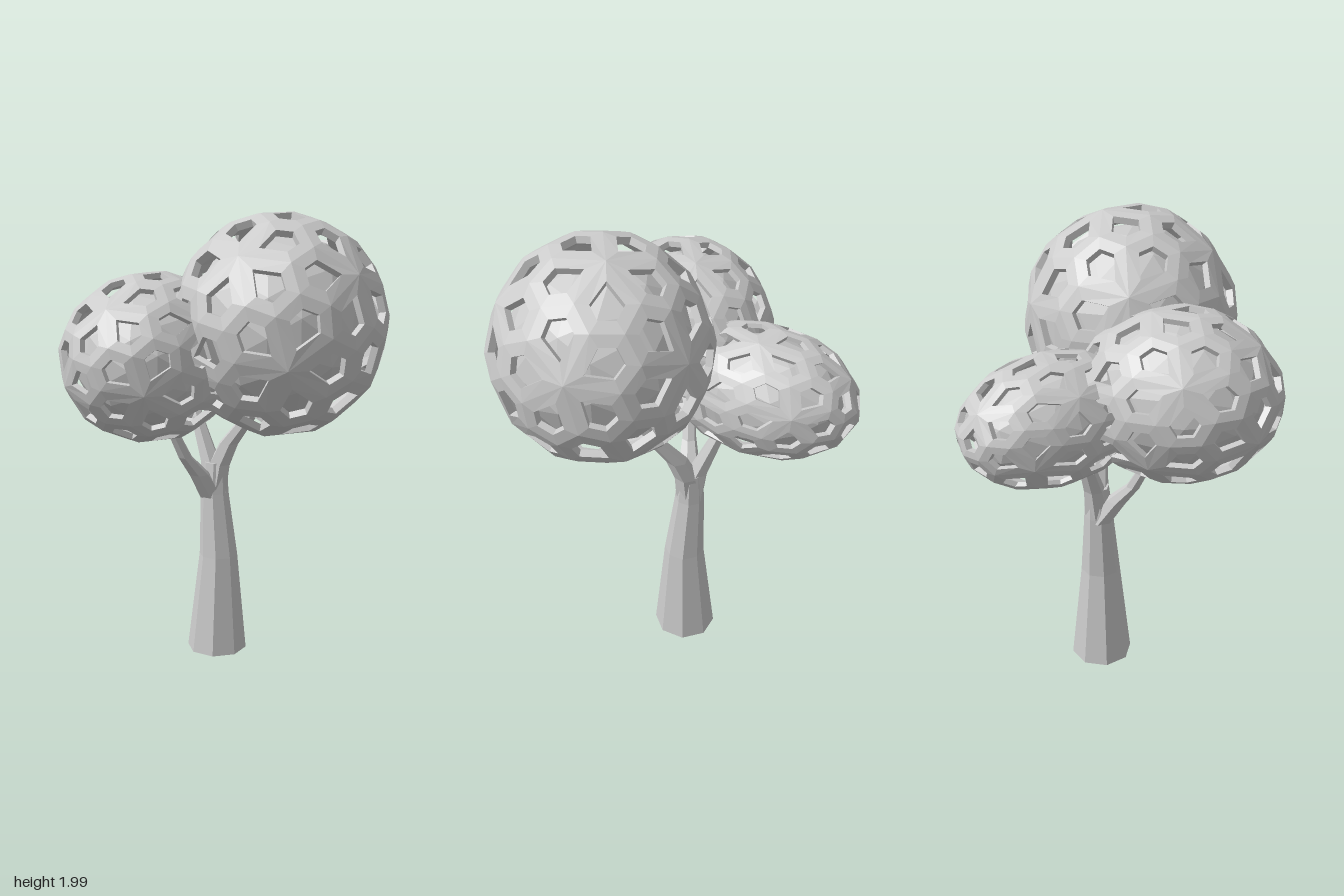
import * as THREE from 'three';

const material = new THREE.MeshStandardMaterial({ color: 0xcccccc, flatShading: true });

// Collects quads and triangles into a flat shaded geometry
function builder() {
  const data = [];
  const tri = (...pts) => pts.forEach((p) => data.push(p.x, p.y, p.z));
  return {
    tri,
    quad(a, b, c, d) { tri(a, b, c); tri(a, c, d); },
    build() {
      const g = new THREE.BufferGeometry();
      g.setAttribute('position', new THREE.Float32BufferAttribute(data, 3));
      g.computeVertexNormals();
      return g;
    },
  };
}

// Unit ball of 60 twisted pentagons, each pierced by a smaller pentagon
function piercedShell(hole = 0.53, inner = 0.935) {
  const out = builder();
  const ico = new THREE.IcosahedronGeometry(1, 0).getAttribute('position');
  const at = (i) => new THREE.Vector3().fromBufferAttribute(ico, i);
  const shrink = (p) => p.clone().multiplyScalar(inner);
  // Point beside the middle of edge a-b, on a's side, swung off the edge
  const twisted = (a, b) => {
    const middle = a.clone().add(b).normalize();
    const along = a.clone().sub(b).normalize();
    return middle.clone().addScaledVector(along.applyAxisAngle(middle, 0.8), 0.138).normalize();
  };

  for (let f = 0; f < ico.count; f += 3) {
    const corners = [at(f), at(f + 1), at(f + 2)];
    const mid = corners[0].clone().add(corners[1]).add(corners[2]).normalize();
    for (let k = 0; k < 3; k++) {
      const prev = corners[k], v = corners[(k + 1) % 3], next = corners[(k + 2) % 3];
      const rim = [mid, twisted(v, prev), v, twisted(v, next), twisted(next, v)];
      const centre = new THREE.Vector3();
      rim.forEach((p) => centre.addScaledVector(p, 0.2));
      const edge = rim.map((p) => {
        const q = centre.clone().lerp(p, hole);
        return q.setLength(THREE.MathUtils.lerp(q.length(), 1, 0.45));
      });
      for (let i = 0; i < 5; i++) {
        const j = (i + 1) % 5;
        out.quad(rim[i], rim[j], edge[j], edge[i]); // outside
        out.quad(edge[i], edge[j], shrink(edge[j]), shrink(edge[i])); // hole wall
        out.quad(shrink(edge[i]), shrink(edge[j]), shrink(rim[j]), shrink(rim[i])); // inside
      }
    }
  }
  return out.build().rotateX(-Math.atan((1 + Math.sqrt(5)) / 2) - 0.26);
}

// Lofts level rings along stops of [x, y, z, radius]
function limb(name, stops, sides = 8) {
  const out = builder();
  const rings = stops.map(([x, y, z, r]) => Array.from({ length: sides }, (_, i) => {
    const a = ((i + 0.5) / sides) * Math.PI * 2;
    return new THREE.Vector3(x + r * Math.sin(a), y, z + r * Math.cos(a));
  }));
  const last = rings[rings.length - 1];
  for (let i = 0; i < sides; i++) {
    const j = (i + 1) % sides;
    for (let k = 0; k + 1 < rings.length; k++) {
      out.quad(rings[k][i], rings[k][j], rings[k + 1][j], rings[k + 1][i]);
    }
    if (i > 0 && i < sides - 1) {
      out.tri(rings[0][0], rings[0][j], rings[0][i]);
      out.tri(last[0], last[i], last[j]);
    }
  }
  const mesh = new THREE.Mesh(out.build(), material);
  mesh.name = name;
  return mesh;
}

export function createModel() {
  const tree = new THREE.Group();
  tree.name = 'tree';

  // Trunk and its three forks
  tree.add(
    limb('trunk', [
      [-0.088, 0, -0.155, 0.134],
      [-0.08, 0.45, -0.155, 0.086],
      [-0.1, 0.74, -0.155, 0.063],
      [-0.1, 0.88, -0.16, 0.052],
    ]),
    limb('largeCrownBranch', [
      [-0.095, 0.76, -0.155, 0.055],
      [-0.08, 0.87, -0.165, 0.052],
      [-0.035, 0.97, -0.17, 0.046],
      [0.065, 1.1, -0.17, 0.034],
      [0.16, 1.25, -0.16, 0.022],
    ], 6),
    limb('middleCrownBranch', [
      [-0.11, 0.72, -0.145, 0.055],
      [-0.125, 0.84, -0.065, 0.048],
      [-0.15, 0.93, 0.01, 0.032],
      [-0.175, 1.07, 0.08, 0.025],
      [-0.18, 1.2, 0.14, 0.018],
    ], 6),
    limb('smallCrownBranch', [
      [-0.1, 0.74, -0.155, 0.06],
      [-0.13, 0.88, -0.165, 0.046],
      [-0.21, 1.07, -0.185, 0.03],
      [-0.28, 1.25, -0.23, 0.02],
    ], 6),
  );

  // Leaf crowns: a pierced shell around a solid core
  const shell = piercedShell();
  const core = new THREE.IcosahedronGeometry(0.82, 2);
  const crowns = [
    ['largeCrown', [0.255, 1.533, -0.08], [0.455, 0.468, 0.456], 0],
    ['middleCrown', [-0.19, 1.4, 0.2], [0.366, 0.356, 0.424], 0],
    ['smallCrown', [-0.362, 1.333, -0.27], [0.408, 0.27, 0.276], -Math.PI / 4],
  ];
  for (const [name, position, scale, turn] of crowns) {
    const crown = new THREE.Group();
    crown.name = name;
    const leaves = new THREE.Mesh(shell, material);
    leaves.name = 'leafShell';
    const heart = new THREE.Mesh(core, material);
    heart.name = 'leafCore';
    crown.add(leaves, heart);
    crown.position.set(...position);
    crown.scale.set(...scale);
    crown.rotation.y = turn;
    tree.add(crown);
  }
  return tree;
}
